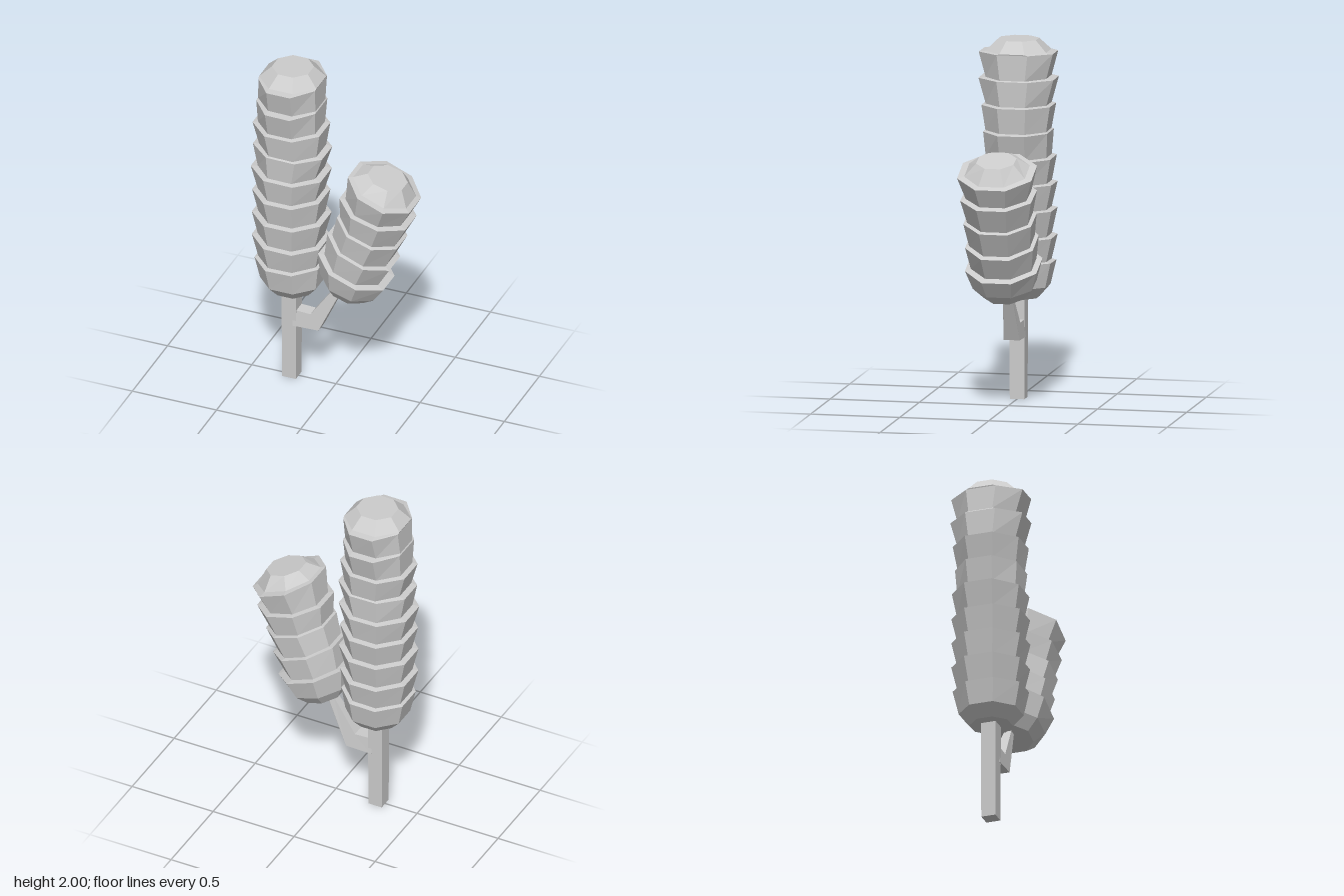
import * as THREE from 'three';

const SIDES = 8;
const material = new THREE.MeshStandardMaterial({ color: 0xcccccc, flatShading: true });

// Closed octagonal loft. Ring: centre x, centre y, half width x, half width z, lean in degrees
function loftRings(rings) {
  const pos = [], index = [];
  const stretch = 1 / Math.cos(Math.PI / SIDES);
  for (const [cx, cy, hx, hz, lean] of rings) {
    const t = THREE.MathUtils.degToRad(lean);
    for (let j = 0; j < SIDES; j++) {
      const a = ((j + 0.5) / SIDES) * Math.PI * 2;
      const lx = hx * stretch * Math.cos(a);
      pos.push(cx + lx * Math.cos(t), cy - lx * Math.sin(t), hz * stretch * Math.sin(a));
    }
  }
  for (let i = 0; i < rings.length - 1; i++) {
    for (let j = 0; j < SIDES; j++) {
      const k = (j + 1) % SIDES;
      const a = i * SIDES + j, b = i * SIDES + k, c = a + SIDES, d = b + SIDES;
      index.push(a, c, b, b, c, d);
    }
  }
  const last = (rings.length - 1) * SIDES;
  for (let j = 1; j < SIDES - 1; j++) {
    index.push(0, j, j + 1, last, last + j + 1, last + j);
  }
  const indexed = new THREE.BufferGeometry();
  indexed.setAttribute('position', new THREE.Float32BufferAttribute(pos, 3));
  indexed.setIndex(index);
  const geometry = indexed.toNonIndexed();
  geometry.computeVertexNormals();
  return geometry;
}

// Stacked tiers, each flaring up to a ledge where the narrower next tier starts
function crown(name, base, tiers, cap, neck) {
  const rings = [...base];
  for (const tier of tiers) {
    const [x, y, , , lean] = tier;
    rings.push(tier, [x, y + 0.006, neck, neck, lean]);
  }
  rings.push(cap);
  return part(name, loftRings(rings));
}

function part(name, geometry) {
  const mesh = new THREE.Mesh(geometry, material);
  mesh.name = name;
  return mesh;
}

export function createModel() {
  const group = new THREE.Group();
  group.name = 'tree';

  // Tall upright crown
  group.add(crown('mainCrown',
    [[-0.255, 0.565, 0.11, 0.11, 0], [-0.257, 0.63, 0.165, 0.165, 0]],
    [
      [-0.262, 0.765, 0.188, 0.195, -1],
      [-0.265, 0.905, 0.2, 0.2, 1],
      [-0.262, 1.055, 0.203, 0.2, 0],
      [-0.265, 1.2, 0.198, 0.2, 0],
      [-0.265, 1.345, 0.207, 0.195, 1],
      [-0.257, 1.49, 0.205, 0.18, 1],
      [-0.264, 1.635, 0.198, 0.192, 0],
      [-0.262, 1.785, 0.175, 0.21, 1],
      [-0.257, 1.93, 0.168, 0.208, 0],
    ],
    [-0.255, 2, 0.107, 0.107, 0], 0.17));

  // Short leaning crown
  group.add(crown('sideCrown',
    [[0.075, 0.627, 0.11, 0.11, 17], [0.093, 0.69, 0.165, 0.165, 17]],
    [
      [0.12, 0.805, 0.208, 0.2, 21],
      [0.165, 0.94, 0.198, 0.19, 22],
      [0.215, 1.075, 0.187, 0.19, 19],
      [0.25, 1.21, 0.203, 0.198, 16],
      [0.289, 1.347, 0.196, 0.208, 22],
    ],
    [0.308, 1.413, 0.105, 0.105, 16], 0.17));

  // Square trunk, slightly narrower at the foot
  const trunk = new THREE.CylinderGeometry(0.061, 0.058, 0.6, 4, 1);
  trunk.rotateY(Math.PI / 4);
  trunk.translate(-0.262, 0.3, 0);
  group.add(part('trunk', trunk));

  // Bent branch, thinning in depth towards the side crown
  const outline = [
    [-0.24, 0.345], [-0.085, 0.35], [0.04, 0.62], [0.06, 0.68],
    [0.025, 0.68], [0.005, 0.64], [-0.135, 0.44], [-0.24, 0.445],
  ].map(([x, y]) => new THREE.Vector2(x, y));
  const depth = 0.09;
  const branch = new THREE.ExtrudeGeometry(new THREE.Shape(outline), { depth, bevelEnabled: false });
  branch.translate(0, 0, -depth / 2);
  const p = branch.attributes.position;
  for (let i = 0; i < p.count; i++) {
    const taper = THREE.MathUtils.clamp((p.getY(i) - 0.35) / 0.3, 0, 1);
    p.setZ(i, p.getZ(i) * (1 - 0.55 * taper));
  }
  branch.computeVertexNormals();
  group.add(part('branch', branch));

  return group;
}
